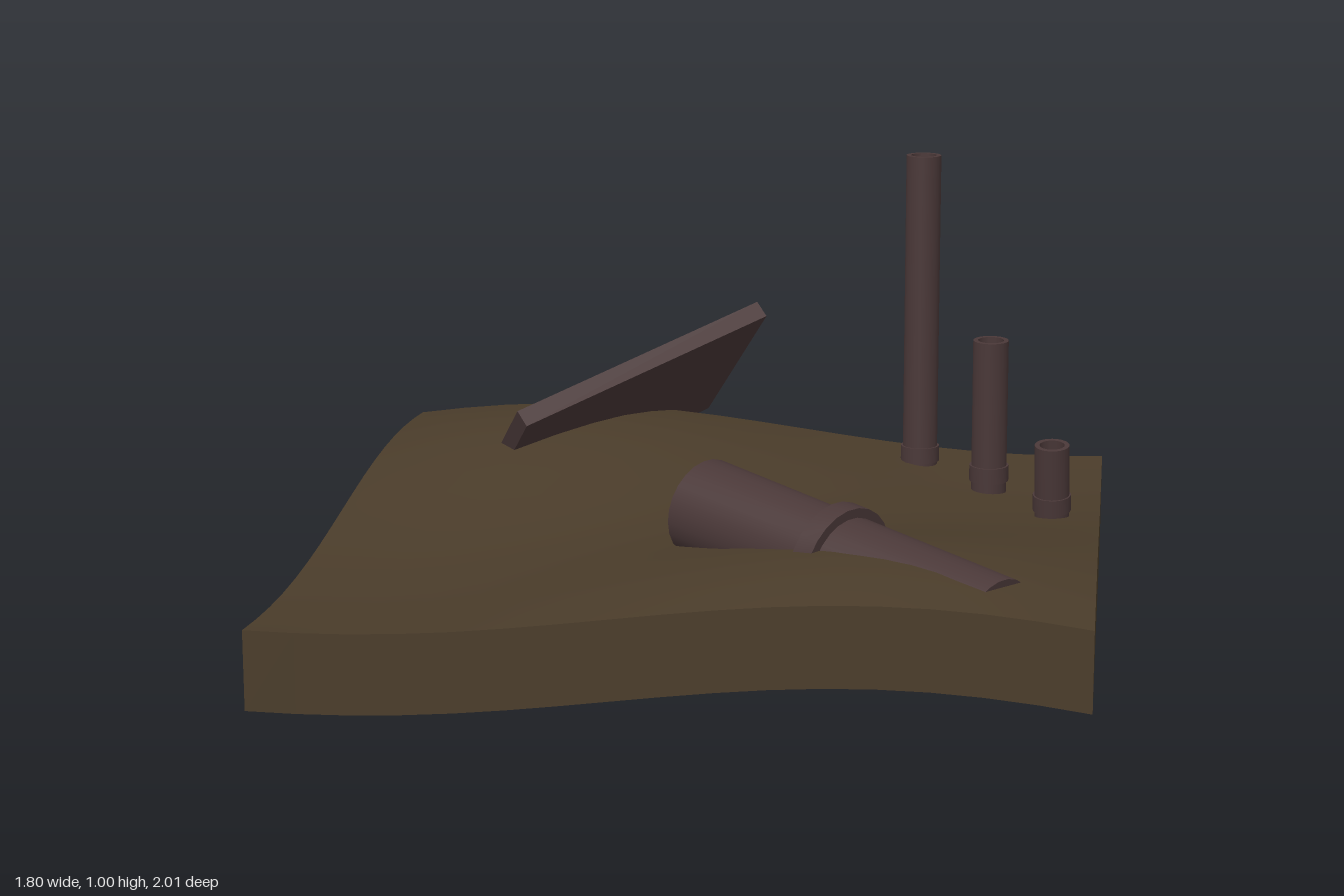
import * as THREE from 'three';
import { toCreasedNormals } from 'three/addons/utils/BufferGeometryUtils.js';

const earth = new THREE.MeshStandardMaterial({ color: 0x4a3c2a });
earth.name = 'earth brown';
const metal = new THREE.MeshStandardMaterial({ color: 0x4a3838 });
metal.name = 'rusted metal';

// Height of the rolling ground above its mean level
function relief(x, z) {
  const d = z - 0.1;
  return 0.07 * Math.sin(2.65 * x) * Math.sin(2.65 * d)
    + 0.05 * Math.cos(1.745 * x) * Math.sin(2.4 * d) ** 2;
}

function add(group, name, geometry, material) {
  const mesh = new THREE.Mesh(geometry, material);
  mesh.name = name;
  group.add(mesh);
  return mesh;
}

// Hollow pipe between two points, with a raised collar starting at distance c
function pipe(group, name, from, to, r, wall, c, collarR, collarLength) {
  const a = new THREE.Vector3(...from);
  const axis = new THREE.Vector3(...to).sub(a);
  const length = axis.length();
  const profile = [
    [r - wall, 0], [r, 0], [r, c], [collarR, c], [collarR, c + collarLength],
    [r, c + collarLength], [r, length], [r - wall, length], [r - wall, 0],
  ].map(([x, y]) => new THREE.Vector2(x, y));
  const geometry = toCreasedNormals(new THREE.LatheGeometry(profile, 24), 0.6);
  const mesh = add(group, name, geometry, metal);
  mesh.position.copy(a);
  mesh.quaternion.setFromUnitVectors(new THREE.Vector3(0, 1, 0), axis.normalize());
}

export function createModel() {
  const model = new THREE.Group();
  model.name = 'scrapGround';

  // Wavy slab of ground
  const slab = new THREE.BoxGeometry(1.8, 0.18, 1.8, 16, 1, 16);
  slab.translate(0, 0.14, 0.1);
  const p = slab.attributes.position;
  for (let i = 0; i < p.count; i++) {
    p.setY(i, p.getY(i) + relief(p.getX(i), p.getZ(i)));
  }
  slab.computeVertexNormals();
  add(model, 'ground', slab, earth);

  // Tilted rectangular plate, half sunk into the ground
  const plate = add(model, 'buriedPlate', new THREE.BoxGeometry(0.73, 0.045, 0.55), metal);
  const u = new THREE.Vector3(0.74, 0.274, -0.616).normalize();
  const v = new THREE.Vector3(0.363, 0.608, 0.708);
  const n = new THREE.Vector3().crossVectors(v, u).normalize();
  v.crossVectors(u, n);
  plate.quaternion.setFromRotationMatrix(new THREE.Matrix4().makeBasis(u, n, v));
  plate.position.set(-0.34, 0.336, -0.58);

  // Large fallen pipe, sinking through the ground at its far end
  pipe(model, 'fallenPipe', [0, 0.317, 0.305], [0.695, 0.208, 0.84], 0.115, 0.018, 0.4, 0.137, 0.05);

  // Three standing pipes of falling height
  pipe(model, 'tallPipe', [0.435, 0.15, -0.65], [0.435, 1.0, -0.65], 0.044, 0.012, 0.06, 0.049, 0.04);
  pipe(model, 'middlePipe', [0.62, 0.15, -0.465], [0.62, 0.57, -0.448], 0.044, 0.012, 0.06, 0.049, 0.04);
  pipe(model, 'shortPipe', [0.785, 0.15, -0.195], [0.782, 0.375, -0.163], 0.042, 0.012, 0.06, 0.046, 0.04);

  return model;
}
